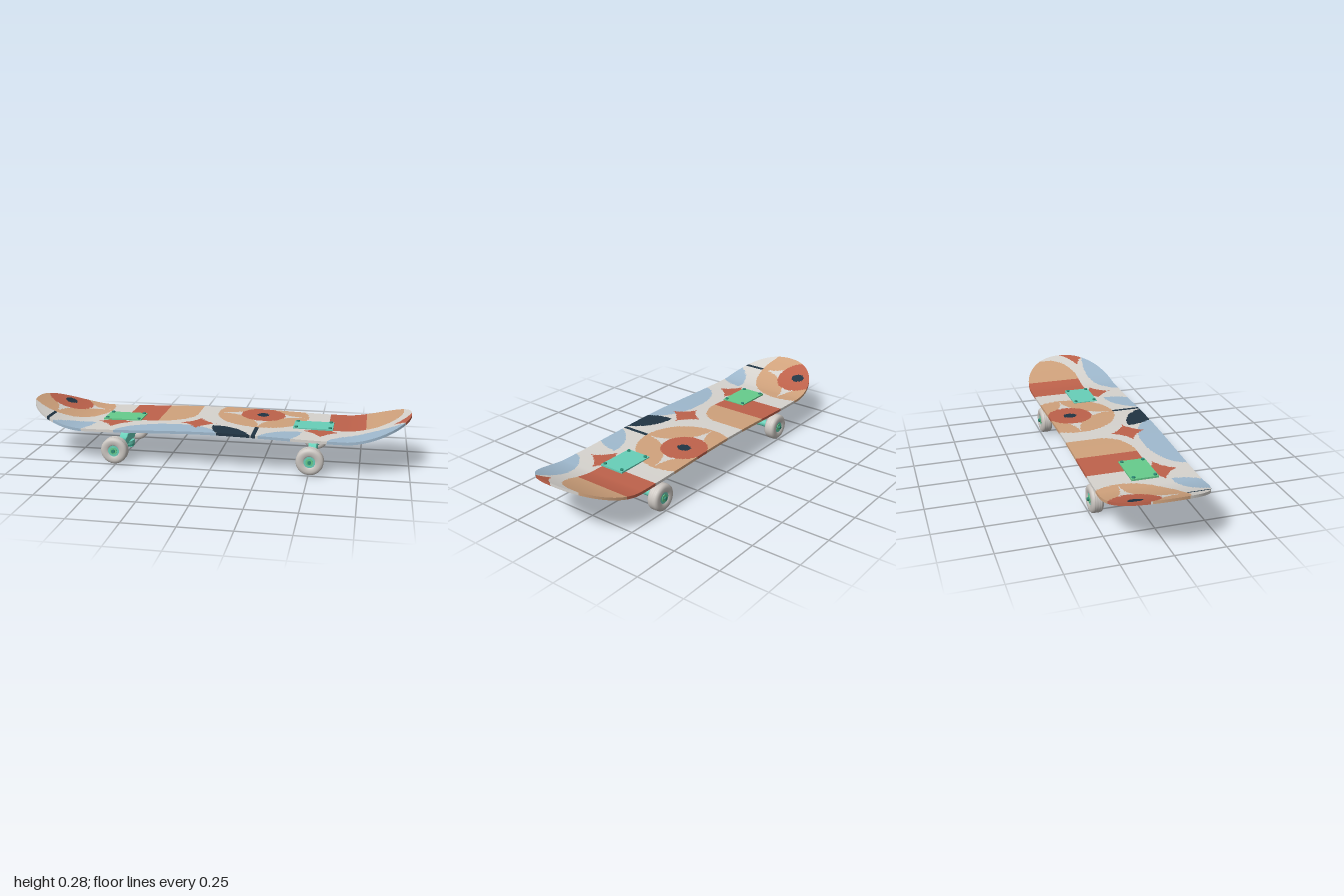
import * as THREE from 'three';

const mat = (name, color) => Object.assign(new THREE.MeshStandardMaterial({ color }), { name });
const white = mat('off white', 0xd6d3ce);
const tan = mat('tan', 0xd0a27c);
const red = mat('brick red', 0xbe624b);
const blue = mat('pale blue', 0x9fb9ce);
const navy = mat('dark navy', 0x203443);
const green = mat('green metal', 0x66cc8c);
const teal = mat('teal metal', 0x68cfb8);
const bolt = mat('dark teal bolts', 0x2f8f78);
const rubber = mat('wheel grey', 0xcbc6c1);
const PRINT = [white, tan, red, blue, navy];

function add(parent, name, geometry, material, x = 0, y = 0, z = 0) {
  const m = new THREE.Mesh(geometry, material);
  m.name = name;
  m.position.set(x, y, z);
  parent.add(m);
  return m;
}

// Repeating print of the deck: returns an index into PRINT
const PERIOD = 1.09;
function printAt(x, z) {
  const wrap = c => x - c - PERIOD * Math.round((x - c) / PERIOD);
  const inEllipse = (dx, dz, rx, rz = rx) => (dx / rx) ** 2 + (dz / rz) ** 2 < 1;
  // Flower: round centre with four lens petals
  const fx = wrap(0.222), fz = z + 0.142, R = 0.245;
  if (inEllipse(fx, fz, 0.03, 0.037)) return 4;
  if (inEllipse(fx, fz, 0.119)) return 2;
  if (inEllipse(fx, fz, R) && inEllipse(Math.abs(fx) - R, Math.abs(fz) - R, R)) return 1;
  // Red block with a round-cornered tan half beside it
  const bx = wrap(-0.318);
  if (z < 0.062 && bx > -0.188 && bx <= 0) return 2;
  if (z < 0.062 && bx > 0 && bx < 0.19 && (z < -0.08 || inEllipse(bx, z + 0.08, 0.19, 0.142))) return 1;
  // Four-pointed stars
  for (const [cx, cz] of [[-0.54, 0.095], [-0.09, 0.088]])
    if (Math.abs(wrap(cx)) ** 0.75 + Math.abs(z - cz) ** 0.75 < 0.094 ** 0.75) return 2;
  // Stem with a dark and a pale leaf
  if (Math.abs(fx) < 0.011 && z > 0.1) return 4;
  const L = 0.23;
  if (inEllipse(fx, z - 0.12, L) && inEllipse(Math.abs(fx) - L, z - 0.12 - L, L)) return fx < 0 ? 4 : 3;
  // Pale dome at the edge
  if (inEllipse(wrap(-0.235), z - 0.27, 0.268, 0.15)) return 3;
  return 0;
}

// Deck outline and side profile
const THICK = 0.014, ENDX = 0.7;
function halfWidth(x) {
  const u = Math.min(1, Math.max(0, (Math.abs(x) - ENDX) / (1 - ENDX)));
  return 0.255 * Math.max(0, 1 - u ** 2.2) ** (1 / 2.2);
}
function deckTop(x) {
  const a = Math.abs(x);
  return 0.203 - 0.015 * THREE.MathUtils.smoothstep(a, 0, 0.65) + 0.098 * Math.max(0, (a - 0.68) / 0.32) ** 1.6;
}

function deckGeometry() {
  const xs = [], MID = 200, END = 50, ROWS = 84;
  for (let i = 0; i < END; i++) xs.push(-ENDX - (1 - ENDX) * Math.cos(i / END * Math.PI / 2));
  for (let i = 0; i <= MID; i++) xs.push(-ENDX + 2 * ENDX * i / MID);
  for (let i = 1; i <= END; i++) xs.push(ENDX + (1 - ENDX) * Math.sin(i / END * Math.PI / 2));
  const pos = [], lists = PRINT.map(() => []);
  // A sheet of cells, each cell taking its colour from the print
  function sheet(rows, point, flip) {
    const base = pos.length / 3;
    for (const x of xs) for (let j = 0; j <= rows; j++) pos.push(...point(x, j / rows));
    for (let i = 0; i < xs.length - 1; i++) for (let j = 0; j < rows; j++) {
      const x = (xs[i] + xs[i + 1]) / 2;
      const z = point(x, (j + 0.5) / rows)[2];
      const a = base + i * (rows + 1) + j, b = a + 1, c = a + rows + 1, d = c + 1;
      lists[printAt(x, z)].push(...(flip ? [a, c, b, b, c, d] : [a, b, c, b, d, c]));
    }
  }
  sheet(ROWS, (x, t) => [x, deckTop(x), (2 * t - 1) * halfWidth(x)], false);
  sheet(ROWS, (x, t) => [x, deckTop(x) - THICK, (2 * t - 1) * halfWidth(x)], true);
  // Rims along both sides
  sheet(1, (x, t) => [x, deckTop(x) - THICK * t, halfWidth(x)], false);
  sheet(1, (x, t) => [x, deckTop(x) - THICK * t, -halfWidth(x)], true);
  const g = new THREE.BufferGeometry();
  g.setAttribute('position', new THREE.Float32BufferAttribute(pos, 3));
  g.setIndex(lists.flat());
  let start = 0;
  lists.forEach((l, i) => { g.addGroup(start, l.length, i); start += l.length; });
  g.computeVertexNormals();
  return g;
}

const lathe = (pts, seg = 32) => new THREE.LatheGeometry(pts.map(p => new THREE.Vector2(...p)), seg).rotateX(Math.PI / 2);
const rod = (r, len, seg = 20) => new THREE.CylinderGeometry(r, r, len, seg).rotateX(Math.PI / 2);

function wheel(side) {
  const g = new THREE.Group();
  g.name = 'wheel';
  // Tyre with rounded shoulders and shallow grooves
  const half = [[0.028, -0.024], [0.036, -0.03], [0.052, -0.031], [0.062, -0.028], [0.068, -0.022], [0.07, -0.016]];
  const tread = [];
  for (const z of [-0.012, 0, 0.012]) tread.push([0.07, z - 0.002], [0.0685, z], [0.07, z + 0.002]);
  add(g, 'tyre', lathe([...half, ...tread, ...half.map(([r, z]) => [r, -z]).reverse()], 40), rubber);
  add(g, 'hub', rod(0.03, 0.05, 28), teal);
  add(g, 'bearing', rod(0.019, 0.056), green);
  add(g, 'axleNut', rod(0.01, 0.03, 6), bolt, 0, 0, side * 0.023);
  return g;
}

// One truck; its outer end points to +x
function truck(metal) {
  const g = new THREE.Group();
  const AXLE = 0.0715;
  add(g, 'topPlate', new THREE.BoxGeometry(0.205, 0.01, 0.136), metal, 0, 0.192, 0);
  add(g, 'basePlate', new THREE.BoxGeometry(0.205, 0.014, 0.13), metal, 0, 0.173, 0);
  for (const x of [-0.087, 0.087]) for (const z of [-0.054, 0.054]) {
    add(g, 'boltHead', new THREE.CylinderGeometry(0.009, 0.009, 0.008, 12), bolt, x, 0.199, z);
    add(g, 'boltNut', new THREE.CylinderGeometry(0.01, 0.01, 0.01, 6), bolt, x, 0.165, z);
  }
  // Tapered body under the base plate
  const body = new THREE.CylinderGeometry(Math.SQRT1_2, Math.SQRT1_2, 1, 4, 1).toNonIndexed().rotateY(Math.PI / 4);
  const p = body.attributes.position;
  for (let i = 0; i < p.count; i++) {
    const top = p.getY(i) > 0;
    p.setXYZ(i, p.getX(i) * (top ? 0.19 : 0.115), top ? 0.168 : 0.112, p.getZ(i) * (top ? 0.052 : 0.038));
  }
  body.computeVertexNormals();
  add(g, 'truckBody', body, metal);
  // Hanger: axle housing with a curved yoke
  add(g, 'axleHousing', rod(0.02, 0.38, 24), teal, 0, AXLE, 0);
  add(g, 'axle', rod(0.007, 0.51, 12), teal, 0, AXLE, 0);
  const yoke = new THREE.Shape();
  yoke.moveTo(-0.085, 0.054);
  yoke.lineTo(0.085, 0.054);
  yoke.lineTo(0.085, 0.09);
  yoke.quadraticCurveTo(0.045, 0.095, 0.028, 0.118);
  yoke.lineTo(-0.028, 0.118);
  yoke.quadraticCurveTo(-0.045, 0.095, -0.085, 0.09);
  const yokeGeo = new THREE.ExtrudeGeometry(yoke, { depth: 0.03, bevelEnabled: true, bevelSize: 0.003, bevelThickness: 0.006, bevelSegments: 2, curveSegments: 8 });
  yokeGeo.translate(0, 0, -0.015).rotateY(Math.PI / 2);
  add(g, 'yoke', yokeGeo, teal);
  // Tilted kingpin with bushings and nut
  const king = new THREE.Group();
  king.name = 'kingpin';
  king.position.set(-0.012, 0.075, 0);
  king.rotation.z = -0.25;
  g.add(king);
  add(king, 'upperBushing', new THREE.CylinderGeometry(0.034, 0.038, 0.02, 24), teal, 0, 0.038, 0);
  add(king, 'lowerBushing', new THREE.CylinderGeometry(0.029, 0.023, 0.02, 24), teal, 0, -0.028, 0);
  add(king, 'kingpinNut', new THREE.CylinderGeometry(0.019, 0.019, 0.012, 6), bolt, 0, -0.043, 0);
  add(king, 'kingpinTip', new THREE.CylinderGeometry(0.01, 0.01, 0.01, 12), teal, 0, -0.05, 0);
  for (const s of [-1, 1]) {
    const w = wheel(s);
    w.position.set(0, AXLE, s * 0.219);
    g.add(w);
  }
  return g;
}

export function createModel() {
  const model = new THREE.Group();
  model.name = 'skateboard';
  add(model, 'deck', deckGeometry(), PRINT);
  const left = truck(teal);
  left.name = 'leftTruck';
  left.position.x = 0.505;
  const right = truck(green);
  right.name = 'rightTruck';
  right.position.x = -0.51;
  right.rotation.y = Math.PI;
  model.add(left, right);
  return model;
}
